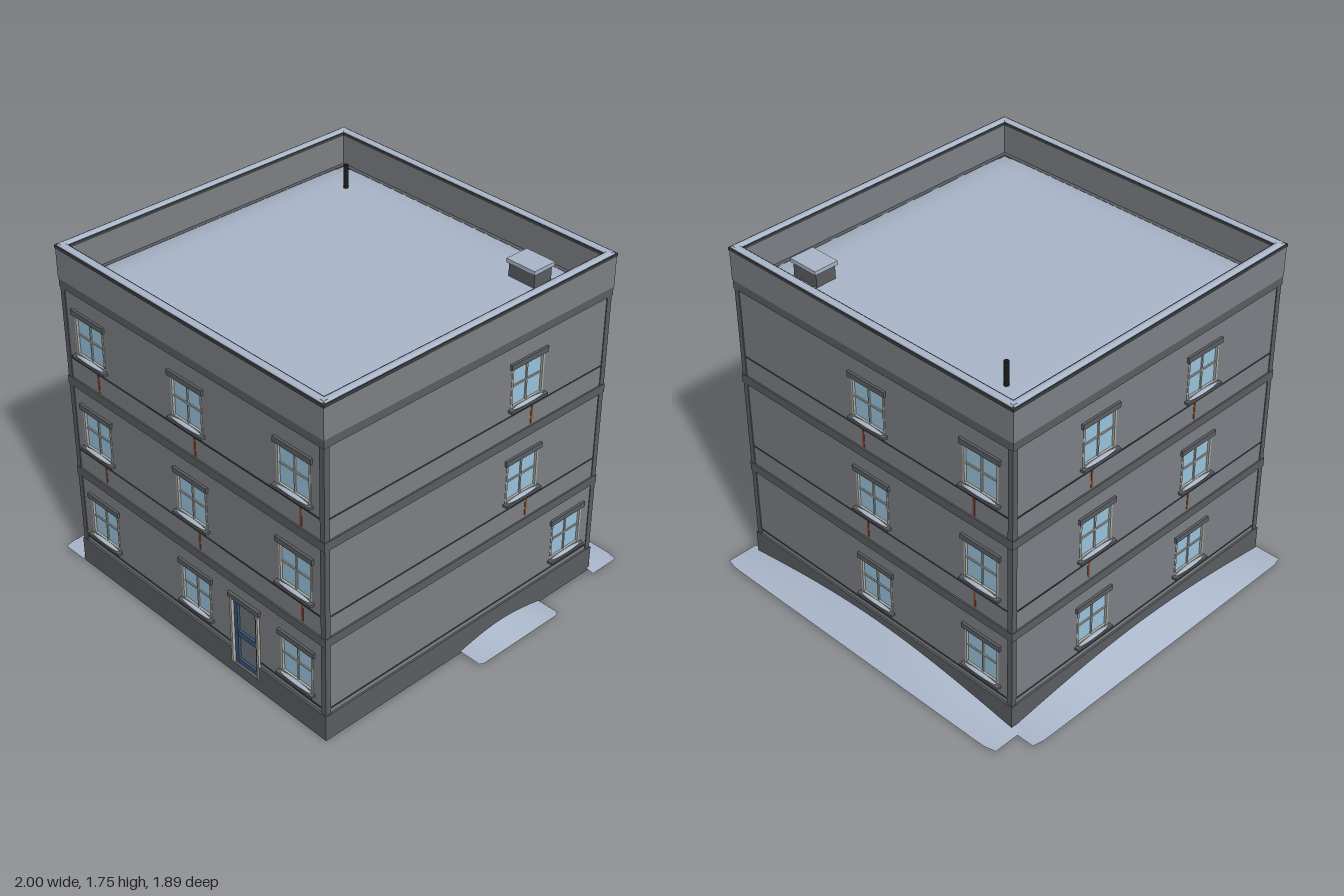
import * as THREE from 'three';

const mat = (color) => new THREE.MeshStandardMaterial({ color, roughness: 0.9 });
const M = {
  wall: mat(0x7e8186), trim: mat(0x5c5f63), dark: mat(0x404347), snow: mat(0xaab7ca),
  glass: mat(0x9cc6e0), frame: mat(0xb0b0a8), door: mat(0x3d5578), panel: mat(0x6c757c),
  rust: mat(0x8a4526), floor: mat(0x574233), rug: mat(0x22324f), wood: mat(0x857660), metal: mat(0x1c1c1e),
};
const SHEET = mat(0xaab7ca);            // snow seen from both sides
SHEET.side = THREE.DoubleSide;
const HALF = 0.86;                      // half width of the square block
const FLOORS = [0.21, 0.71, 1.21];      // window sill heights
const WIN = { w: 0.2, h: 0.21 };
const DOOR = { u: 0.335, w: 0.17, y0: 0.06, y1: 0.43 };

function add(parent, name, geometry, material, x = 0, y = 0, z = 0) {
  const mesh = new THREE.Mesh(geometry, material);
  mesh.name = name;
  mesh.position.set(x, y, z);
  parent.add(mesh);
  return mesh;
}

// Box given by its centre in x and z and its bottom and top in y
const box = (parent, name, material, w, y0, y1, d, x = 0, z = 0) =>
  add(parent, name, new THREE.BoxGeometry(w, y1 - y0, d), material, x, (y0 + y1) / 2, z);

function rect(Type, x0, y0, x1, y1) {
  const s = new Type();
  s.moveTo(x0, y0);
  s.lineTo(x1, y0);
  s.lineTo(x1, y1);
  s.lineTo(x0, y1);
  s.closePath();
  return s;
}

// Square ring lying flat, from y0 to y1
function ring(parent, name, material, outer, inner, y0, y1) {
  const s = rect(THREE.Shape, -outer, -outer, outer, outer);
  s.holes.push(rect(THREE.Path, -inner, -inner, inner, inner));
  const g = new THREE.ExtrudeGeometry(s, { depth: y1 - y0, bevelEnabled: false });
  g.rotateX(-Math.PI / 2);
  return add(parent, name, g, material, 0, y0, 0);
}

// Flat sheet in x and z whose height, and z if wanted, follow a rule of (s, t) in 0..1
function sheet(w, d, nw, nd, rule) {
  const g = new THREE.PlaneGeometry(w, d, nw, nd);
  g.rotateX(-Math.PI / 2);
  const p = g.attributes.position;
  for (let i = 0; i < p.count; i++) {
    const { y, z = p.getZ(i) } = rule(p.getX(i) / w + 0.5, p.getZ(i) / d + 0.5);
    p.setXYZ(i, p.getX(i), y, z);
  }
  g.computeVertexNormals();
  return g;
}

// Window with cross bars, shallow lintel, sill and a little snow on the sill
function makeWindow(u, y) {
  const g = new THREE.Group();
  g.name = 'window';
  g.position.set(u, y, 0);
  const { w, h } = WIN;
  box(g, 'glass', M.glass, w, 0, h, 0.01, 0, 0.836);
  for (const s of [-1, 1]) box(g, 'frameSide', M.frame, 0.01, 0, h, 0.016, s * (w / 2 - 0.003), 0.845);
  for (const y0 of [0, h - 0.01]) box(g, 'frameRail', M.frame, w, y0, y0 + 0.01, 0.014, 0, 0.845);
  box(g, 'verticalBar', M.frame, 0.008, 0, h, 0.008, 0, 0.843);
  box(g, 'crossBar', M.frame, w, h / 2, h / 2 + 0.008, 0.007, 0, 0.843);
  box(g, 'lintel', M.trim, 0.23, h - 0.003, h + 0.024, 0.022, 0, 0.852);
  box(g, 'sill', M.trim, 0.23, -0.01, 0.003, 0.04, 0, 0.855);
  add(g, 'sillSnow', new THREE.SphereGeometry(1, 16, 6, 0, Math.PI * 2, 0, Math.PI / 2), M.snow, 0, 0.003, 0.861)
    .scale.set(0.1, 0.009, 0.012);
  return g;
}

function makeDoor() {
  const g = new THREE.Group();
  g.name = 'door';
  g.position.x = DOOR.u;
  const { w, y0, y1 } = DOOR;
  box(g, 'doorPanel', M.panel, w, y0, y1, 0.01, 0, 0.83);
  for (const s of [-1, 1]) {
    box(g, 'doorStile', M.door, 0.022, y0, y1, 0.02, s * (w / 2 - 0.015), 0.838);
    box(g, 'doorJamb', M.frame, 0.012, y0, y1, 0.045, s * (w / 2 + 0.002), 0.841);
  }
  for (const [a, b] of [[y0, y0 + 0.025], [0.22, 0.25], [y1 - 0.025, y1]])
    box(g, 'doorRail', M.door, w - 0.02, a, b, 0.018, 0, 0.838);
  box(g, 'doorLintel', M.trim, 0.205, y1, y1 + 0.026, 0.025, 0, 0.853);
  return g;
}

// One side of the building; columns[i] lists the window centres of floor i
function makeFacade(name, angle, columns, streak, hasDoor) {
  const g = new THREE.Group();
  g.name = name;
  g.rotation.y = angle;
  const shape = rect(THREE.Shape, -0.85, 0.03, 0.85, 1.57);
  const d0 = DOOR.u - DOOR.w / 2, d1 = DOOR.u + DOOR.w / 2;
  columns.forEach((list, i) => list.forEach((u) => {
    const y = FLOORS[i];
    shape.holes.push(rect(THREE.Path, u - WIN.w / 2, y, u + WIN.w / 2, y + WIN.h));
    g.add(makeWindow(u, y));
    if (i > 0) box(g, 'rustStreak', M.rust, 0.011, y - 0.135, y - 0.045, 0.006, u + streak, 0.85);
  }));
  if (hasDoor) {
    shape.holes.push(rect(THREE.Path, d0, DOOR.y0, d1, DOOR.y1));
    g.add(makeDoor());
  }
  add(g, 'wall', new THREE.ExtrudeGeometry(shape, { depth: 0.05, bevelEnabled: false }), M.wall, 0, 0, 0.801);

  // Plinth and low ledge, broken by the door where there is one
  const spans = hasDoor ? [[-HALF, d0], [d1, HALF]] : [[-HALF, HALF]];
  for (const [a, b] of spans) {
    box(g, 'plinth', M.trim, b - a, 0.06, 0.137, 0.03, (a + b) / 2, HALF - 0.015);
    box(g, 'lowLedge', M.dark, b - a - 0.02, 0.16, 0.167, 0.008, (a + b) / 2, 0.85);
  }
  for (const y of [0.667, 1.172]) box(g, 'wallSeam', M.dark, 1.65, y - 0.003, y + 0.003, 0.006, 0, 0.851);
  return g;
}

// Snow wedge along a wall: length in x, falling away towards +z, rounded in plan
const makeDrift = (length, depth, height) => sheet(length, depth, 32, 8, (s, t) => ({
  y: 0.01 + height * Math.sin(Math.PI * s) * (1 - t),
  z: t * depth * (1 - 0.08 * Math.pow(Math.abs(2 * s - 1), 40)),
}));

export function createModel() {
  const model = new THREE.Group();
  model.name = 'apartmentBlock';
  const block = new THREE.Group();
  block.name = 'building';
  block.position.set(0.01, 0, 0.07);
  model.add(block);

  // Four sides
  const three = [-0.67, 0, 0.67], back = [0, 0.67], left = [-0.335, 0.335];
  block.add(
    makeFacade('frontFacade', 0, [three, three, three], 0.04, true),
    makeFacade('leftFacade', Math.PI / 2, [[0.67], [0.33], [0.33]], 0.04, false),
    makeFacade('backFacade', Math.PI, [back, back, back], -0.04, false),
    makeFacade('rightFacade', -Math.PI / 2, [left, left, left], -0.04, false),
  );

  // Base, floor with pieces let into it, storey bands and corner strips
  ring(block, 'base', M.trim, HALF, 0.835, 0, 0.06);
  box(block, 'groundFloor', M.floor, 1.67, 0.004, 0.055, 1.67);
  box(block, 'floorRug', M.rug, 0.24, 0.002, 0.01, 0.16, -0.62, 0.26);
  box(block, 'floorBoards', M.wood, 0.16, 0.002, 0.01, 0.14, -0.42, 0.18);
  for (const [x, z] of [[-0.4, -0.09], [0.16, -0.62]]) box(block, 'floorPlate', M.metal, 0.1, 0.002, 0.01, 0.07, x, z);
  for (const y of [0.517, 1.022, 1.527]) ring(block, 'storeyBand', M.trim, 0.858, 0.8, y, y + 0.045);
  for (const sx of [-1, 1]) for (const sz of [-1, 1])
    box(block, 'cornerStrip', M.trim, 0.028, 0.06, 1.57, 0.028, sx * 0.841, sz * 0.841);

  // Parapet with coping and rounded snow along each side
  ring(block, 'parapet', M.wall, HALF, 0.82, 1.57, 1.725);
  ring(block, 'coping', M.dark, 0.863, 0.816, 1.722, 1.736);
  for (let i = 0; i < 4; i++) {
    const side = new THREE.Group();
    side.name = 'copingSide';
    side.rotation.y = i * Math.PI / 2;
    block.add(side);
    const snow = new THREE.CylinderGeometry(0.019, 0.019, 1.7, 12);
    snow.rotateZ(Math.PI / 2);
    add(side, 'copingSnow', snow, M.snow, 0, 1.735, 0.839).scale.y = 0.55;
  }

  // Roof under softly rounded snow, vent box and pipe
  box(block, 'roof', M.trim, 1.66, 1.53, 1.565, 1.66);
  add(block, 'roofSnow', sheet(1.63, 1.63, 24, 24, (s, t) => ({
    y: 1.566 + 0.03 * (1 - Math.pow(2 * s - 1, 16)) * (1 - Math.pow(2 * t - 1, 16)),
  })), M.snow);
  box(block, 'roofVent', M.trim, 0.15, 1.58, 1.665, 0.11, 0.585, -0.615);
  box(block, 'roofVentCap', M.snow, 0.165, 1.665, 1.685, 0.13, 0.585, -0.615);
  add(block, 'roofPipe', new THREE.CylinderGeometry(0.012, 0.012, 0.13, 10), M.metal, -0.59, 1.65, -0.62);

  // Snow drifts on three sides
  const drifts = [
    ['backDrift', 1.81, 0.18, 0.1, 0.01, -0.77, Math.PI],
    ['rightDrift', 1.74, 0.15, 0.075, -0.85, 0.07, -Math.PI / 2],
    ['leftDrift', 0.53, 0.14, 0.038, 0.86, -0.165, Math.PI / 2],
  ];
  for (const [name, length, depth, height, x, z, angle] of drifts)
    add(model, name, makeDrift(length, depth, height), SHEET, x, 0, z).rotation.y = angle;
  return model;
}
